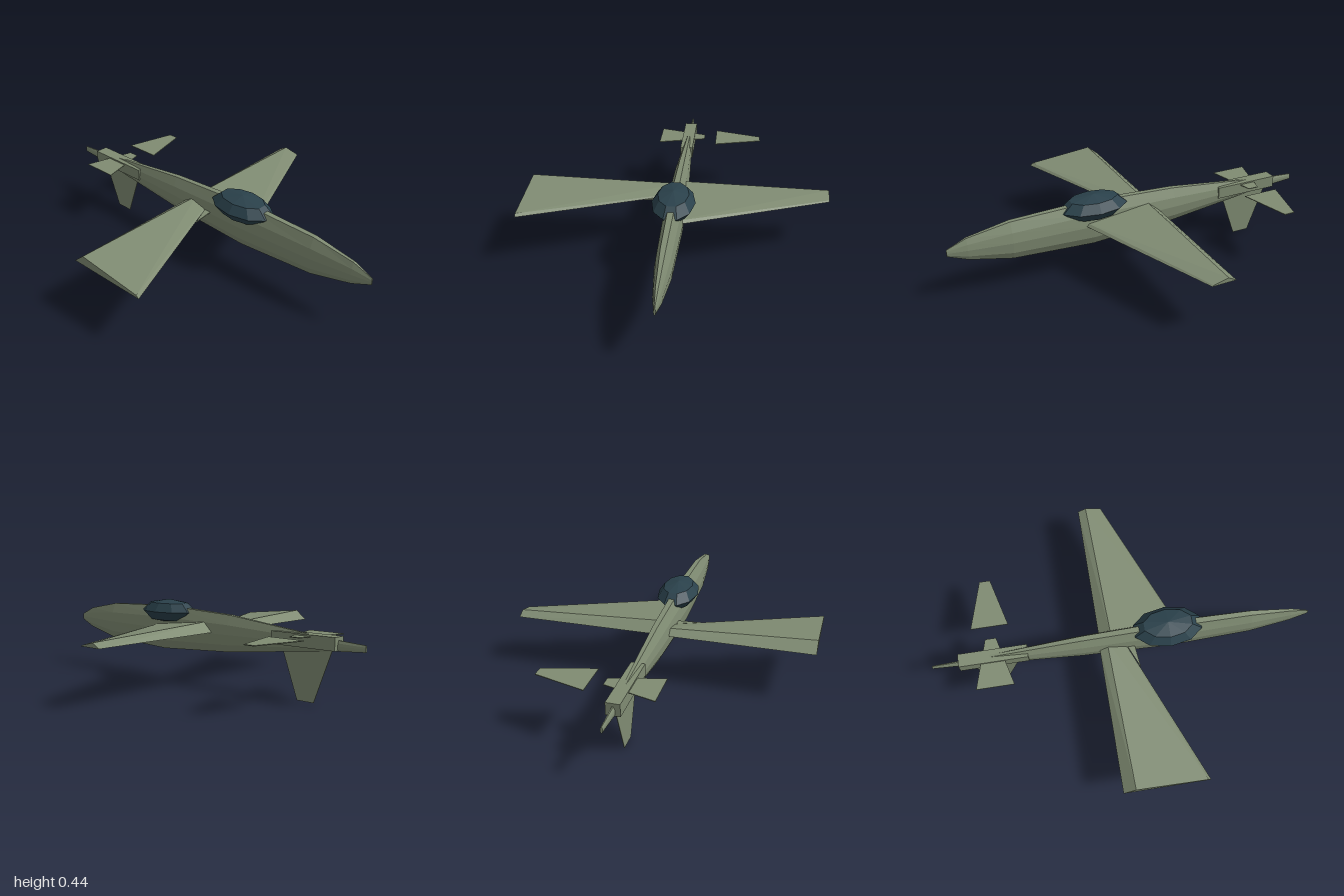
import * as THREE from 'three';

const green = new THREE.MeshStandardMaterial({ color: 0x7f8b72, flatShading: true });
const glass = new THREE.MeshStandardMaterial({ color: 0x2a414b, flatShading: true });

// Solid skin through matching rings of [x, y, z] points, closed at both ends
function loft(rings) {
  const tris = [];
  const n = rings[0].length;
  for (let i = 0; i < rings.length - 1; i++) {
    for (let j = 0; j < n; j++) {
      const k = (j + 1) % n;
      const a = rings[i], b = rings[i + 1];
      tris.push([a[j], a[k], b[k]], [a[j], b[k], b[j]]);
    }
  }
  const first = rings[0], last = rings[rings.length - 1];
  for (let j = 1; j < n - 1; j++) {
    tris.push([first[0], first[j + 1], first[j]], [last[0], last[j], last[j + 1]]);
  }
  // Signed volume tells whether the faces point outwards
  const v = (p) => new THREE.Vector3(...p);
  let volume = 0;
  for (const [a, b, c] of tris) volume += v(a).dot(v(b).cross(v(c)));
  const points = tris.flatMap(([a, b, c]) => (volume < 0 ? [a, c, b] : [a, b, c]));
  const geometry = new THREE.BufferGeometry();
  geometry.setAttribute('position', new THREE.Float32BufferAttribute(points.flat(), 3));
  geometry.computeVertexNormals();
  return geometry;
}

export function createModel() {
  const group = new THREE.Group();
  const add = (name, geometry, material = green, x = 0, y = 0, z = 0) => {
    const mesh = new THREE.Mesh(geometry, material);
    mesh.name = name;
    mesh.position.set(x, y, z);
    group.add(mesh);
    return mesh;
  };

  // Fuselage: stations of z, top, bottom and half width, with a ten-sided section
  const stations = [
    [1, 0.302, 0.266, 0.005], [0.9, 0.345, 0.228, 0.022], [0.68, 0.386, 0.182, 0.043],
    [0.25, 0.402, 0.163, 0.054], [-0.22, 0.38, 0.19, 0.044], [-0.6, 0.338, 0.233, 0.025],
    [-0.85, 0.312, 0.26, 0.012], [-1, 0.302, 0.27, 0.006],
  ];
  const half = [[0.3, 1], [0.8, 0.74], [1, 0.48], [0.87, 0.2], [0.42, 0]];
  const section = [...half, ...half.map(([x, y]) => [-x, y]).reverse()];
  add('fuselage', loft(stations.map(([z, top, bottom, w]) =>
    section.map(([x, y]) => [x * w, bottom + y * (top - bottom), z]))));

  // Canopy
  add('canopy', new THREE.SphereGeometry(1, 10, 4), glass, 0, 0.372, 0.235).scale.set(0.11, 0.065, 0.184);

  // Wings: both use one panel, broad end at the low-x side
  const wing = loft([
    [[0, 0.285, 0.315], [0, 0.299, 0.3], [0, 0.336, -0.06], [0, 0.285, -0.122]],
    [[0.795, 0.284, 0], [0.795, 0.29, -0.008], [0.795, 0.308, -0.085], [0.795, 0.284, -0.128]],
  ]);
  add('leftWing', wing);
  add('rightWing', wing, green, -0.797);

  // Small fillet at the narrow root
  add('wingRootFillet', loft([0.282, 0.287].map((y) =>
    [[-0.17, y, 0.07], [0, y, 0.052], [0, y, 0]])));

  // Tail block and tailplanes
  add('tailBlock', new THREE.BoxGeometry(0.07, 0.064, 0.36), green, 0, 0.296, -0.68);
  const tailplane = loft([0.316, 0.32].map((y) =>
    [[0, y, -0.585], [0.265, y, -0.655], [0.265, y, -0.712], [0, y, -0.782]]));
  add('leftTailplane', tailplane, green, 0.165);
  add('rightTailplane', tailplane, green, -0.168);

  // Downward fin
  add('fin', loft([-0.0015, 0.0015].map((x) =>
    [[x, 0.27, -0.535], [x, 0, -0.635], [x, 0, -0.73], [x, 0.27, -0.83]])));

  return group;
}
